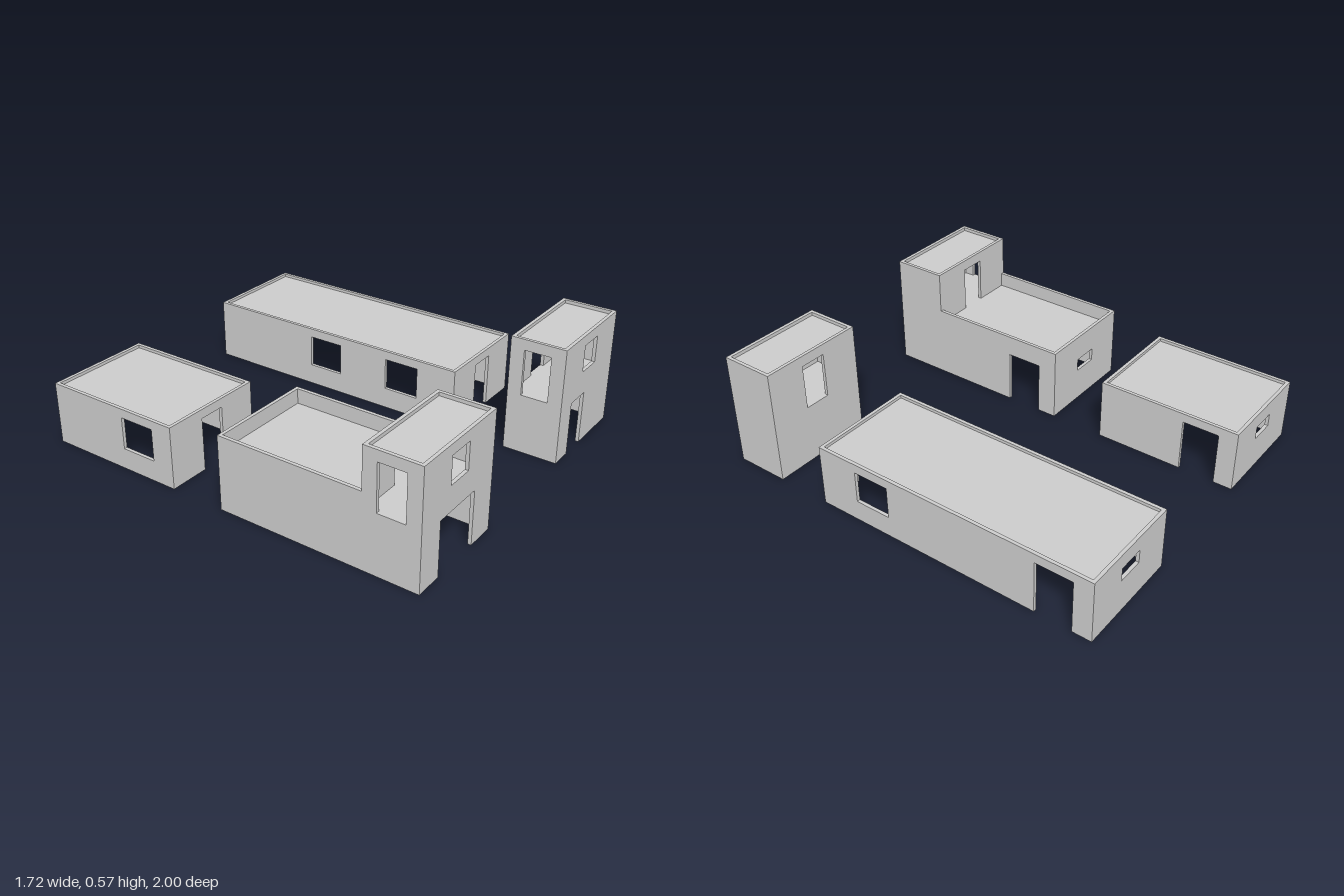
import * as THREE from 'three';

const T = 0.017;                      // wall thickness
const X0 = 0.32, X1 = 0.862;          // inner and outer faces of each row of blocks
const LOW = 0.31, TERRACE = 0.368, HIGH = 0.575;
const FLOOR = 0.295, SLAB = 0.02;     // top of the slabs over the ground storey
const DOOR_TOP = 0.265;

const mat = new THREE.MeshStandardMaterial({ color: 0xcccccc });

// Openings are [u0, u1, v0, v1]
const door = (a, b) => [a, b, 0, DOOR_TOP];
const sideWindow = (c) => [c - 0.092, c + 0.092, 0.105, DOOR_TOP];
const slit = (c) => [c - 0.066, c + 0.066, 0.17, 0.235];
const upperWindow = (c) => [c - 0.066, c + 0.066, 0.388, 0.522];
const upperDoor = (c) => [c - 0.066, c + 0.066, FLOOR, 0.522];

// Upright panel: top profile runs from u0 to u1; openings at the base become notches
function panel(u0, u1, base, top, openings) {
  const s = new THREE.Shape();
  s.moveTo(u0, base);
  for (const [a, b, v0, v1] of openings.filter((o) => o[2] <= base).sort((p, q) => p[0] - q[0])) {
    s.lineTo(a, base);
    s.lineTo(a, v1);
    s.lineTo(b, v1);
    s.lineTo(b, base);
  }
  s.lineTo(u1, base);
  for (const [u, v] of [...top].reverse()) s.lineTo(u, v);
  for (const [a, b, v0, v1] of openings.filter((o) => o[2] > base)) {
    const h = new THREE.Path();
    h.moveTo(a, v0);
    h.lineTo(a, v1);
    h.lineTo(b, v1);
    h.lineTo(b, v0);
    h.closePath();
    s.holes.push(h);
  }
  return new THREE.ExtrudeGeometry(s, { depth: T, bevelEnabled: false });
}

function add(group, name, geometry) {
  const m = new THREE.Mesh(geometry, mat);
  m.name = name;
  group.add(m);
}

// Wall across x, with its back face at z
function crossWall(group, name, x0, x1, z, base, height, openings) {
  const g = panel(x0 + T, x1 - T, base, [[x0 + T, height], [x1 - T, height]], openings);
  add(group, name, g.translate(0, 0, z));
}

// Wall along z, with its +x face at x
function sideWall(group, name, x, z0, z1, top, openings) {
  const g = panel(z0, z1, 0, top, openings).rotateY(-Math.PI / 2);
  add(group, name, g.translate(x, 0, 0));
}

// Horizontal slab fitted between the walls
function slab(group, name, x0, x1, z0, z1, topY) {
  const g = new THREE.BoxGeometry(x1 - x0 - 2 * T, SLAB, z1 - z0 - 2 * T);
  add(group, name, g.translate((x0 + x1) / 2, topY - SLAB / 2, (z0 + z1) / 2));
}

// One block: four walls and a ground-storey slab
function block(name, x0, x1, z0, z1, o) {
  const g = new THREE.Group();
  g.name = name;
  const top = o.sideTop || [[z0, o.height], [z1, o.height]];
  sideWall(g, 'leftWall', x1, z0, z1, top, o.left || []);
  sideWall(g, 'rightWall', x0 + T, z0, z1, top, o.right || []);
  crossWall(g, 'frontWall', x0, x1, z1 - T, 0, top[top.length - 1][1], o.front || []);
  crossWall(g, 'backWall', x0, x1, z0, 0, top[0][1], o.back || []);
  slab(g, o.slabName || 'roof', x0, x1, z0, z1, FLOOR);
  return g;
}

export function createModel() {
  const model = new THREE.Group();
  model.name = 'buildings';
  const c = 0.591;                    // centre line of a row
  const towerZ = 0.728;

  // Small single-storey house
  model.add(block('smallHouse', -X1, -X0, -1, -0.275, {
    height: LOW,
    front: [door(-c - 0.066, -c + 0.066)],
    back: [slit(-c)],
    left: [door(-0.905, -0.72)],
    right: [sideWindow(-0.48)],
  }));

  // Long single-storey house
  model.add(block('longHouse', X0, X1, -1, 0.45, {
    height: LOW,
    front: [door(c - 0.066, c + 0.066)],
    back: [slit(c)],
    left: [door(-0.905, -0.72), sideWindow(0.148)],
    right: [sideWindow(0.148), sideWindow(-0.31)],
  }));

  // House with a roof terrace behind an upper storey
  const terraceHouse = block('terraceHouse', -X1, -X0, 0, 1, {
    sideTop: [[0, TERRACE], [towerZ, TERRACE], [towerZ, HIGH], [1, HIGH]],
    slabName: 'terraceFloor',
    front: [door(-0.725, -0.463), upperWindow(-c)],
    back: [slit(-c)],
    left: [door(0.098, 0.28)],
    right: [[0.797, 0.93, FLOOR, 0.522]],
  });
  crossWall(terraceHouse, 'terraceWall', -X1, -X0, towerZ, FLOOR, HIGH, [upperDoor(-c)]);
  slab(terraceHouse, 'upperRoof', -X1, -X0, towerZ, 1, HIGH - 0.017);
  model.add(terraceHouse);

  // Free-standing tower
  const tower = block('tower', X0, X1, towerZ, 1, {
    height: HIGH,
    slabName: 'upperFloor',
    front: [door(0.433, 0.567), upperWindow(c)],
    back: [upperDoor(c)],
    right: [[0.797, 0.93, FLOOR, 0.522]],
  });
  slab(tower, 'upperRoof', X0, X1, towerZ, 1, HIGH - 0.017);
  model.add(tower);

  return model;
}
